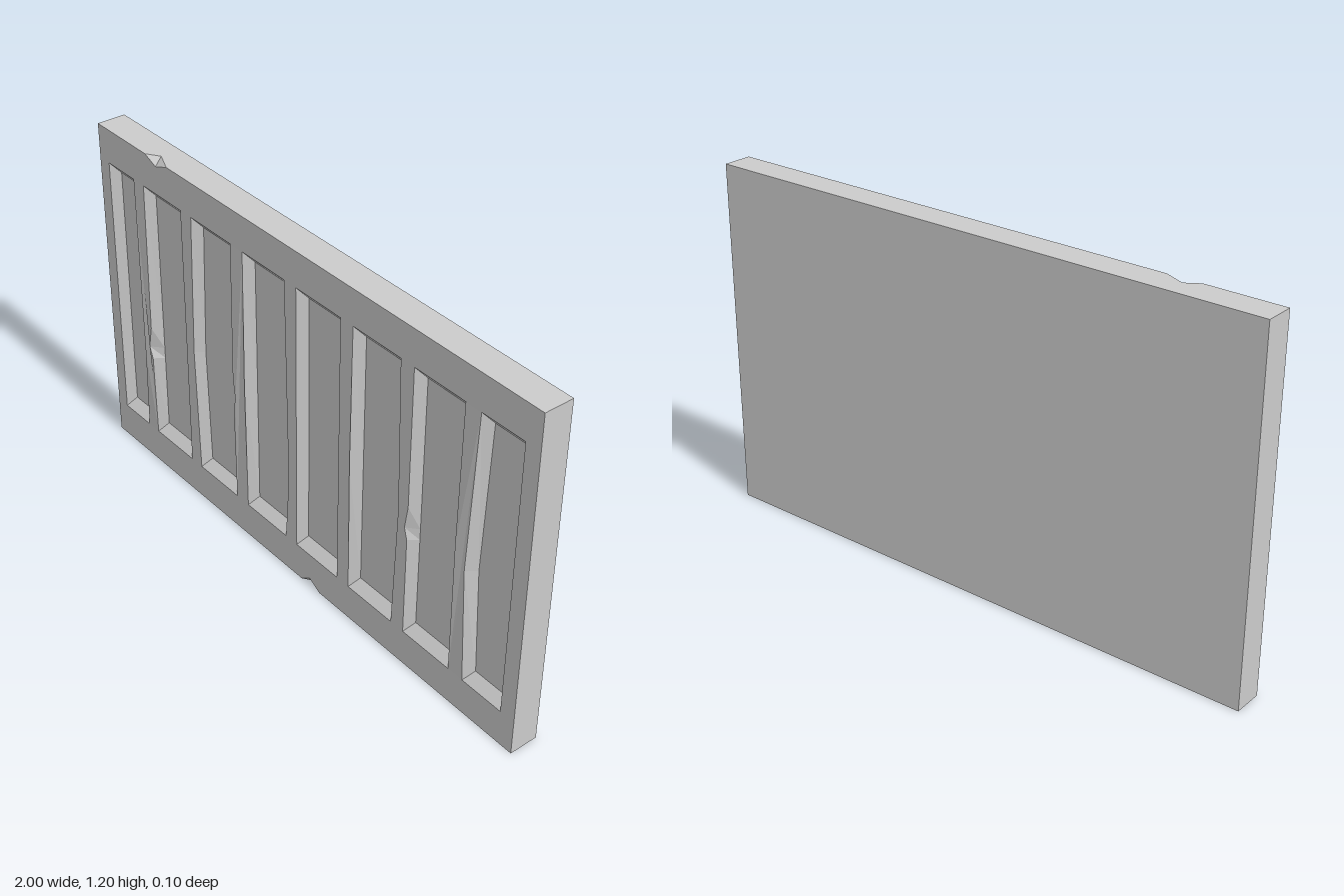
import * as THREE from 'three';

const FRONT = 0.05, BACK = -0.05, FLOOR = 0.02, H = 1.2, BULGE = 0.004;
const BEVEL_X = 0.023, BEVEL_Y = 0.035, Y0 = 0.125, Y1 = 1.08;

const material = new THREE.MeshStandardMaterial({ color: 0xcccccc, flatShading: true });

// Edge profiles, bottom to top: [outward shift of rim, y, outward shift of floor]
const straight = [[0, 0.6, 0]];
const bow = (d, y) => [[d, y, d]];
const chip = (d, y) => [[0, y - 0.04, 0], [d, y, 0], [0, y + 0.08, 0]];

// Recesses: left x, right x, left edge profile, right edge profile
const SLOTS = [
  [-0.95, -0.81, straight, bow(0.012, 0.43)],
  [-0.755, -0.555, chip(0.016, 0.47), straight],
  [-0.5, -0.3, bow(-0.0, 0.58).map(() => [0.015, 0.58, 0.015]), chip(0.01, 0.52)],
  [-0.24, -0.04, straight, bow(0.016, 0.36)],
  [0.015, 0.215, straight, straight],
  [0.27, 0.47, straight, bow(0.014, 0.56)],
  [0.525, 0.725, chip(0.012, 0.52), straight],
  [0.785, 0.945, bow(0.018, 0.53), straight],
];

// Notches broken out of the long edges: start x, tip x, end x, tip y, edge y, inner x
const TOP_CHIP = { a: -0.735, tip: -0.68, b: -0.62, tipY: 1.178, y: H, inner: -0.69 };
const BOTTOM_CHIP = { a: 0.04, tip: 0.08, b: 0.13, tipY: 0.028, y: 0, inner: 0.085 };

const toShape = (pts) => new THREE.Shape(pts.map((p) => new THREE.Vector2(p[0], p[1])));

function mesh(geometry, name) {
  const flat = geometry.index ? geometry.toNonIndexed() : geometry;
  flat.computeVertexNormals();
  const m = new THREE.Mesh(flat, material);
  m.name = name;
  return m;
}

function triangles(list) {
  return new THREE.BufferGeometry().setAttribute('position',
    new THREE.Float32BufferAttribute(list.flat(), 3));
}

// Counter-clockwise rim and floor loops of one recess
function slotLoops([x0, x1, left, right], index) {
  const rim = [], floor = [];
  const add = (x, y, z, fx, fy) => { rim.push([x, y, z]); floor.push([fx, fy, FLOOR]); };
  const a = x0 + BEVEL_X, b = x1 - BEVEL_X, ya = Y0 + BEVEL_Y, yb = Y1 - BEVEL_Y;
  // every second bar swells slightly forward
  const zRight = FRONT + (index % 2 === 0 ? BULGE : 0);
  const zLeft = FRONT + (index % 2 === 1 ? BULGE : 0);
  add(x0, Y0, FRONT, a, ya);
  add(x1, Y0, FRONT, b, ya);
  for (const [d, y, f] of right) add(x1 + d, y, zRight, b + f, y);
  add(x1, Y1, FRONT, b, yb);
  add(x0, Y1, FRONT, a, yb);
  for (const [d, y, f] of [...left].reverse()) add(x0 - d, y, zLeft, a - f, y);
  return { rim, floor };
}

// Front face with the recess openings cut out
function frontFace(loops) {
  const t = TOP_CHIP, b = BOTTOM_CHIP;
  const shape = toShape([[-1, 0], [b.a, 0], [b.tip, b.tipY], [b.b, 0], [1, 0],
    [1, H], [t.b, H], [t.tip, t.tipY], [t.a, H], [-1, H]]);
  shape.holes = loops.map((l) => toShape(l.rim));
  const geometry = new THREE.ShapeGeometry(shape);
  const points = loops.flatMap((l) => l.rim);
  const pos = geometry.attributes.position;
  for (let i = 0; i < pos.count; i++) {
    const hit = points.find((p) =>
      Math.abs(p[0] - pos.getX(i)) < 1e-5 && Math.abs(p[1] - pos.getY(i)) < 1e-5);
    pos.setZ(i, hit ? hit[2] : FRONT);
  }
  return mesh(geometry, 'frontFace');
}

// Sloping walls and flat floor of a recess
function recess({ rim, floor }) {
  const group = new THREE.Group();
  group.name = 'recess';
  const walls = [];
  rim.forEach((p, i) => {
    const j = (i + 1) % rim.length;
    walls.push(...p, ...rim[j], ...floor[j], ...p, ...floor[j], ...floor[i]);
  });
  const base = new THREE.ShapeGeometry(toShape(floor)).translate(0, 0, FLOOR);
  group.add(mesh(triangles(walls), 'recessWalls'), mesh(base, 'recessFloor'));
  return group;
}

// Long edge of the slab with its notch
function longEdge(c, up, name) {
  const s = up ? -1 : 1;
  const outline = [[-1, BACK], [1, BACK], [1, FRONT], [c.b, FRONT],
    [c.inner, 0.02], [c.a, FRONT], [-1, FRONT]].map(([x, z]) => [x, s * z]);
  const geometry = new THREE.ShapeGeometry(toShape(outline));
  geometry.rotateX(s * Math.PI / 2).translate(0, c.y, 0);
  return mesh(geometry, name);
}

// Two broken facets inside a notch
function notch(c, up, name) {
  const A = [c.a, c.y, FRONT], B = [c.tip, c.tipY, FRONT];
  const C = [c.b, c.y, FRONT], D = [c.inner, c.y, 0.02];
  return mesh(triangles(up ? [A, B, D, B, C, D] : [A, D, B, B, D, C]), name);
}

export function createModel() {
  const model = new THREE.Group();
  model.name = 'slottedPanel';
  const loops = SLOTS.map(slotLoops);

  model.add(frontFace(loops));
  loops.forEach((l) => model.add(recess(l)));

  model.add(longEdge(TOP_CHIP, true, 'topEdge'), notch(TOP_CHIP, true, 'topNotch'));
  model.add(longEdge(BOTTOM_CHIP, false, 'bottomEdge'), notch(BOTTOM_CHIP, false, 'bottomNotch'));

  // Back and short sides
  const back = new THREE.PlaneGeometry(2, H).rotateY(Math.PI).translate(0, H / 2, BACK);
  model.add(mesh(back, 'backFace'));
  for (const s of [1, -1]) {
    const side = new THREE.PlaneGeometry(FRONT - BACK, H).rotateY(s * Math.PI / 2).translate(s, H / 2, 0);
    model.add(mesh(side, s > 0 ? 'leftEdge' : 'rightEdge'));
  }
  return model;
}
